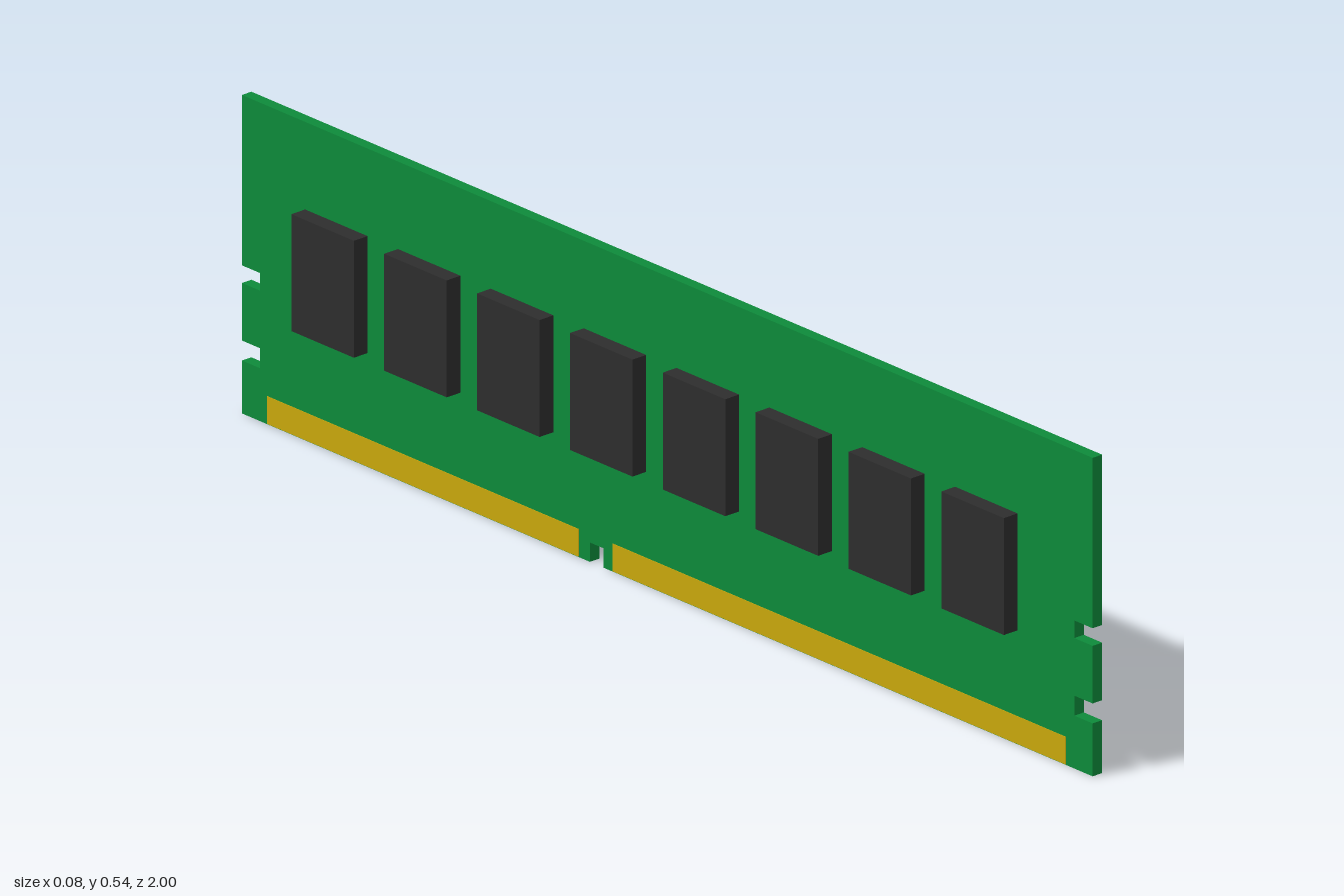
import * as THREE from 'three';

export function createModel() {
  const group = new THREE.Group();
  const mat = (name, color) => {
    const m = new THREE.MeshStandardMaterial({ color });
    m.name = name;
    return m;
  };
  const green = mat('board green', 0x0d8a3a);
  const gold = mat('contact gold', 0xc9a80c);
  const black = mat('chip black', 0x2d2d2d);

  const halfThick = 0.01, height = 0.542, notch = 0.043;

  // Circuit board outline (z along the shape's x) with side and key notches
  const sideNotches = [[0.09, 0.124], [0.222, 0.252]];
  const right = [], left = [];
  for (const [low, high] of sideNotches) {
    right.push([1, low], [1 - notch, low], [1 - notch, high], [1, high]);
    left.push([-1, low], [-1 + notch, low], [-1 + notch, high], [-1, high]);
  }
  const outline = [
    [-1, 0], [-0.182, 0], [-0.182, 0.033], [-0.15, 0.033], [-0.15, 0], [1, 0],
    ...right, [1, height], [-1, height], ...left.reverse(),
  ];
  const shape = new THREE.Shape(outline.map(([z, y]) => new THREE.Vector2(z, y)));
  const boardGeo = new THREE.ExtrudeGeometry(shape, { depth: halfThick * 2, bevelEnabled: false });
  boardGeo.translate(0, 0, -halfThick);
  boardGeo.rotateY(-Math.PI / 2);
  const board = new THREE.Mesh(boardGeo, green);
  board.name = 'circuitBoard';
  group.add(board);

  // Box on one face of the board, side = 1 or -1
  const addPlate = (name, material, side, depth, y0, y1, z0, z1) => {
    const mesh = new THREE.Mesh(new THREE.BoxGeometry(depth, y1 - y0, z1 - z0), material);
    mesh.position.set(side * (halfThick + depth / 2), (y0 + y1) / 2, (z0 + z1) / 2);
    mesh.name = name;
    group.add(mesh);
  };

  for (const side of [1, -1]) {
    // Memory chips
    for (let i = 0; i < 8; i++) {
      const z = -0.778 + i * 0.2183;
      addPlate('memoryChip', black, side, 0.029, 0.194, 0.393, z - 0.0735, z + 0.0735);
    }
    // Edge contact strips
    addPlate('longContactStrip', gold, side, 0.001, 0.001, 0.048, -0.128, 0.937);
    addPlate('shortContactStrip', gold, side, 0.001, 0.001, 0.048, -0.94, -0.208);
  }
  return group;
}
